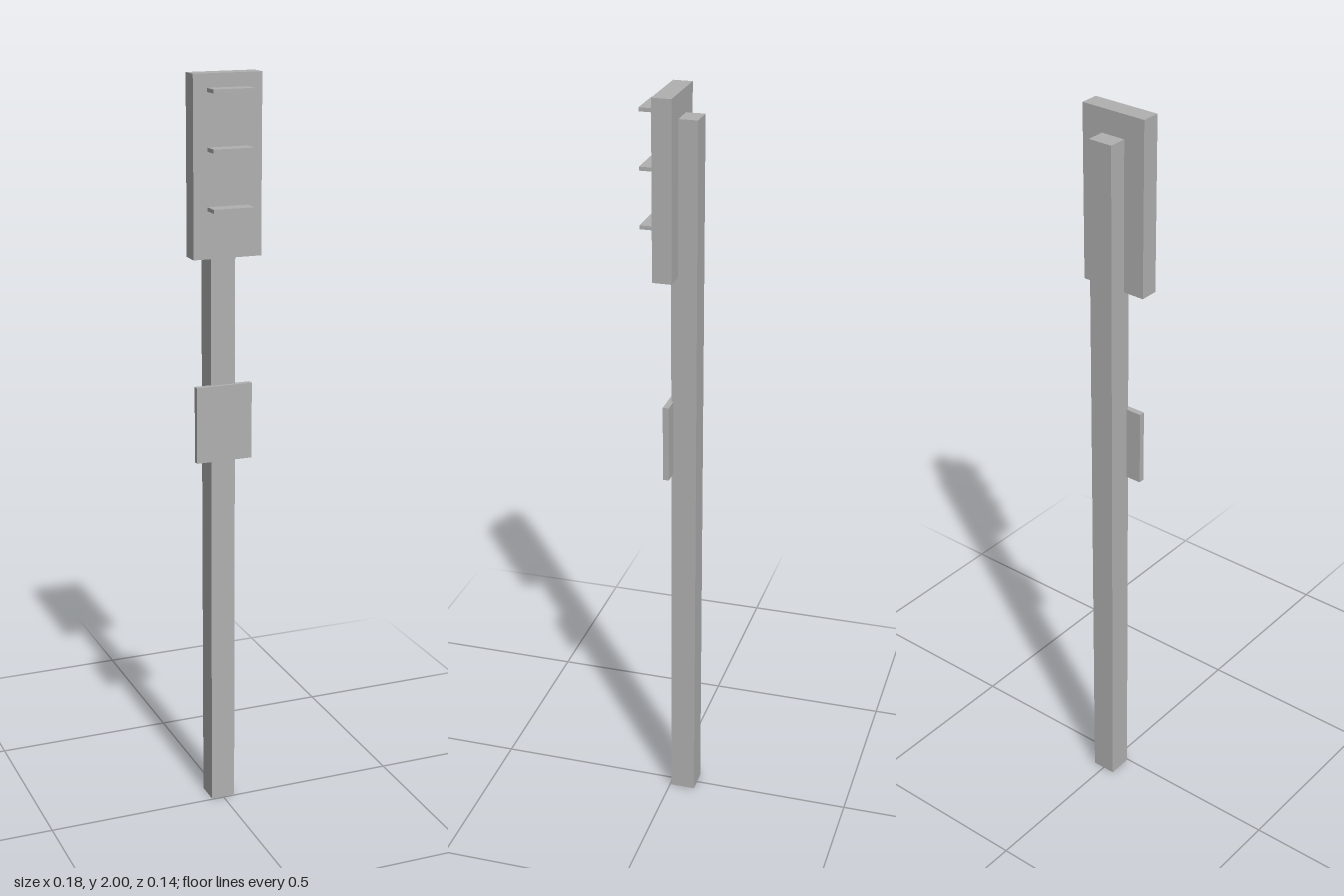
import * as THREE from 'three';

export function createModel() {
  const model = new THREE.Group();
  model.name = 'signalPost';

  const grey = new THREE.MeshStandardMaterial({ color: 0xb0b0b0 });
  grey.name = 'grey';

  // Box centred on x, given its width and its y and z extents
  function box(name, width, [y0, y1], [z0, z1]) {
    const mesh = new THREE.Mesh(new THREE.BoxGeometry(width, y1 - y0, z1 - z0), grey);
    mesh.position.set(0, (y0 + y1) / 2, (z0 + z1) / 2);
    mesh.name = name;
    model.add(mesh);
  }

  // Square upright
  box('post', 0.067, [0, 1.938], [-0.071, -0.004]);

  // Tall head panel on the front of the post
  box('headPanel', 0.184, [1.54, 2], [-0.022, 0.028]);

  // Thin plate halfway up
  box('plate', 0.154, [0.995, 1.2], [-0.01, 0.006]);

  // Small visors projecting from the head panel
  [1.667, 1.815, 1.96].forEach((y, i) => {
    box('visor' + (i + 1), 0.109, [y - 0.005, y + 0.005], [0.028, 0.071]);
  });

  return model;
}
